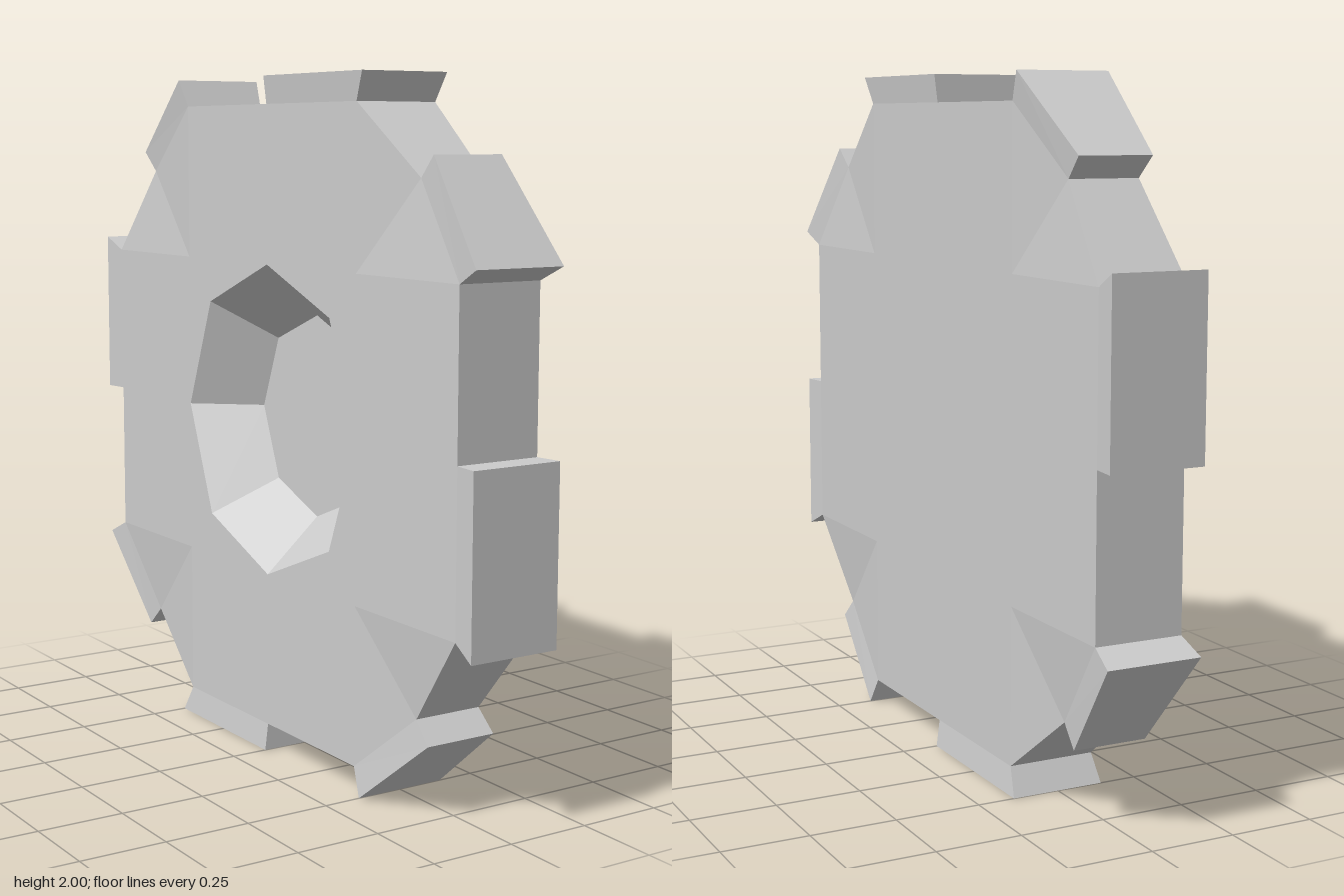
import * as THREE from 'three';

const material = new THREE.MeshStandardMaterial({ color: 0xcccccc, flatShading: true });

// One quarter of each outline as [z, y, half thickness]
const rim = [[0, 0.92, 0.13], [0.46, 0.92, 0.13], [0.72, 0.72, 0.105], [0.92, 0.46, 0.13], [0.92, 0, 0.13]];
const tips = [[0, 1, 0.14], [0.5, 1, 0.14], [0.78, 0.78, 0.11], [1, 0.5, 0.14]];
const hub = [[0, 0.46, 0.13], [0.33, 0.33, 0.13], [0.46, 0, 0.13]];
const shoulder = [0.46, 0.46, 0.13];
const FLOOR_X = 0.045, FLOOR_SCALE = 0.66;

// Outline point to 3D, on the side given by sign, turned by quarter k
function at([z, y, h], sign, k) {
  for (let i = 0; i < k; i++) [z, y] = [y, -z];
  return [sign * h, y + 1, z];
}

function makeMesh(name, build) {
  const positions = [];
  // Adds a convex polygon as a fan of triangles
  const face = (...p) => {
    for (let i = 1; i < p.length - 1; i++) positions.push(...p[0], ...p[i], ...p[i + 1]);
  };
  for (let k = 0; k < 4; k++) build(face, k);
  const geometry = new THREE.BufferGeometry();
  geometry.setAttribute('position', new THREE.Float32BufferAttribute(positions, 3));
  geometry.computeVertexNormals();
  const mesh = new THREE.Mesh(geometry, material);
  mesh.name = name;
  return mesh;
}

// Outward strip across the thickness between two outline points
function strip(face, a, b, k) {
  face(at(a, -1, k), at(b, -1, k), at(b, 1, k), at(a, 1, k));
}

export function createModel() {
  const group = new THREE.Group();
  group.name = 'gearWheel';

  // Wheel body: rim strips and both side faces with pinched corners
  group.add(makeMesh('wheelBody', (face, k) => {
    for (let i = 0; i < 4; i++) strip(face, rim[i], rim[i + 1], k);
    const [A, B, C, D, E] = rim, [H0, H1, H2] = hub, K = shoulder;
    const panels = [[H0, K, B, A], [H0, H1, K], [K, C, B], [K, D, C], [K, H2, E, D], [K, H1, H2]];
    for (const panel of panels) {
      const minus = panel.map(p => at(p, -1, k));
      const plus = panel.map(p => at(p, 1, k)).reverse();
      face(...minus);
      face(...plus);
    }
    // Closed centre on the flat side
    face([0.13, 1, 0], at(H0, 1, k), at(H1, 1, k), at(H2, 1, k));
  }));

  // Eight teeth, two per quarter
  group.add(makeMesh('teeth', (face, k) => {
    for (const i of [0, 2]) {
      const p = (list, j, s) => at(list[j], s, k), j = i + 1;
      strip(face, tips[i], tips[j], k);
      face(p(rim, i, 1), p(tips, i, 1), p(tips, j, 1), p(rim, j, 1));
      face(p(rim, j, -1), p(tips, j, -1), p(tips, i, -1), p(rim, i, -1));
      face(p(rim, i, 1), p(rim, i, -1), p(tips, i, -1), p(tips, i, 1));
      face(p(rim, j, -1), p(rim, j, 1), p(tips, j, 1), p(tips, j, -1));
    }
  }));

  // Tapered octagonal recess on the other side
  group.add(makeMesh('hubRecess', (face, k) => {
    const deep = hub.map(([z, y]) => [z * FLOOR_SCALE, y * FLOOR_SCALE, FLOOR_X]);
    for (let i = 0; i < 2; i++) {
      face(at(hub[i], -1, k), at(deep[i], 1, k), at(deep[i + 1], 1, k), at(hub[i + 1], -1, k));
      face([FLOOR_X, 1, 0], at(deep[i + 1], 1, k), at(deep[i], 1, k));
    }
  }));

  return group;
}
